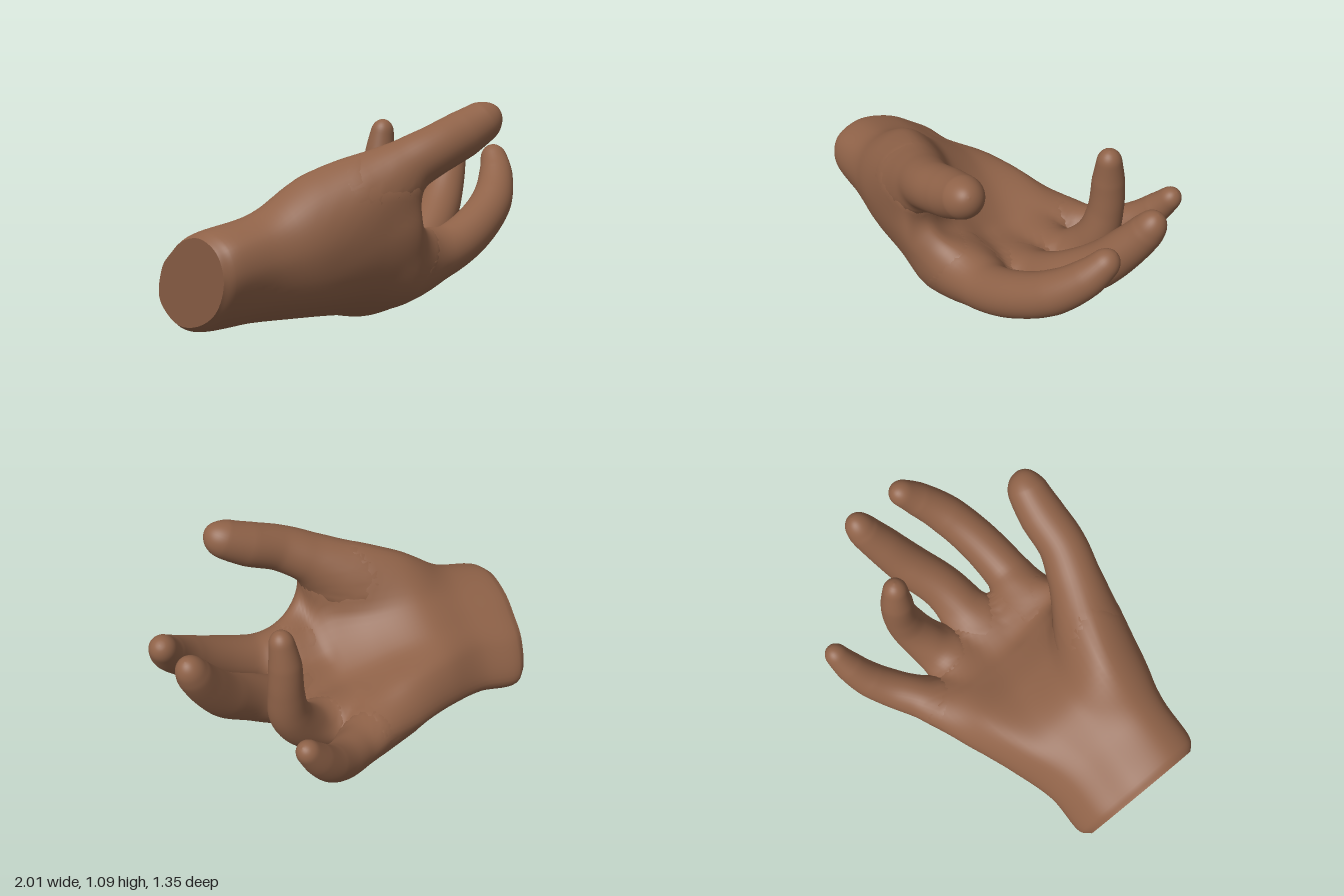
import * as THREE from 'three';

const SIDES = 36;
const BLEND = 0.1;
const skinMaterial = new THREE.MeshStandardMaterial({ color: 0x8f6248 });
skinMaterial.name = 'brown skin';

// Skin a row of closed rings; flat caps are added where asked.
function skin(rings, capped) {
  const pos = [], index = [];
  const n = rings[0].length;
  rings.forEach(r => r.forEach(p => pos.push(p.x, p.y, p.z)));
  for (let i = 0; i < rings.length - 1; i++) {
    for (let j = 0; j < n; j++) {
      const a = i * n + j, b = i * n + (j + 1) % n;
      index.push(a, b, a + n, b, b + n, a + n);
    }
  }
  const cap = (ring, flip) => {
    const start = pos.length / 3;
    const mid = new THREE.Vector3();
    ring.forEach(p => { pos.push(p.x, p.y, p.z); mid.addScaledVector(p, 1 / n); });
    pos.push(mid.x, mid.y, mid.z);
    for (let j = 0; j < n; j++) {
      const a = start + j, b = start + (j + 1) % n;
      index.push(start + n, flip ? b : a, flip ? a : b);
    }
  };
  if (capped) {
    cap(rings[0], true);
    cap(rings[rings.length - 1], false);
  }
  const g = new THREE.BufferGeometry();
  g.setAttribute('position', new THREE.Float32BufferAttribute(pos, 3));
  g.setIndex(index);
  g.computeVertexNormals();
  return g;
}

// Round digit along a path of [x, y, z, radius], with a domed tip.
function digit(name, path) {
  const spine = new THREE.CatmullRomCurve3(path.map(p => new THREE.Vector3(p[0], p[1], p[2])));
  const last = path.length - 1;
  const tip = spine.getPoint(1);
  const ref = new THREE.Vector3(0, 0, 1);
  const rings = [], balls = [];
  const steps = 56;
  for (let i = 0; i <= steps; i++) {
    const t = 1 - (1 - i / steps) ** 1.5;
    const c = spine.getPoint(t), T = spine.getTangent(t);
    const N = ref.clone().cross(T).normalize(), B = T.clone().cross(N);
    const k = Math.min(Math.floor(t * last), last - 1), f = t * last - k;
    let r = THREE.MathUtils.lerp(path[k][3], path[k + 1][3], f);
    const d = c.distanceTo(tip);
    if (d < r) r *= Math.sqrt(Math.max(1e-5, 1 - (1 - d / r) ** 2));
    else balls.push([c, r]);
    const ring = [];
    for (let j = 0; j < SIDES; j++) {
      const a = j / SIDES * Math.PI * 2;
      ring.push(c.clone().addScaledVector(N, r * Math.cos(a)).addScaledVector(B, r * Math.sin(a)));
    }
    rings.push(ring);
  }
  const distance = p => balls.reduce((best, [c, r]) => Math.min(best, p.distanceTo(c) - r), Infinity);
  return { name, geometry: skin(rings, false), distance };
}

// Palm cross-sections as [z, y], from the thumb ridge around the outside, under
// the back of the hand, to the little-finger edge, its mound and the hollow.
const SECTIONS = [
  { x: -0.93, pts: [[0.32, 0.55], [0.46, 0.49], [0.49, 0.36], [0.38, 0.18], [0.15, 0.055], [-0.06, 0.035], [-0.195, 0.14], [-0.12, 0.33], [0.0, 0.43], [0.13, 0.51]] },
  { x: -0.7, pts: [[0.33, 0.61], [0.47, 0.55], [0.52, 0.4], [0.44, 0.2], [0.2, 0.07], [-0.05, 0.06], [-0.2, 0.17], [-0.12, 0.37], [0.01, 0.47], [0.14, 0.55]] },
  { x: -0.45, pts: [[0.33, 0.77], [0.5, 0.69], [0.575, 0.46], [0.49, 0.2], [0.22, 0.06], [-0.08, 0.06], [-0.27, 0.2], [-0.2, 0.4], [-0.03, 0.49], [0.13, 0.6]] },
  { x: -0.2, pts: [[0.41, 0.83], [0.56, 0.73], [0.615, 0.48], [0.51, 0.2], [0.22, 0.04], [-0.1, 0.04], [-0.355, 0.21], [-0.25, 0.39], [0.0, 0.43], [0.21, 0.56]] },
  { x: -0.02, pts: [[0.5, 0.81], [0.6, 0.71], [0.63, 0.46], [0.515, 0.18], [0.23, 0.02], [-0.1, 0.012], [-0.4, 0.24], [-0.25, 0.35], [0.05, 0.355], [0.33, 0.51]] },
  { x: 0.06, pts: [[0.52, 0.56], [0.58, 0.51], [0.6, 0.4], [0.505, 0.17], [0.23, 0.02], [-0.1, 0.02], [-0.41, 0.24], [-0.22, 0.32], [0.08, 0.325], [0.36, 0.43]] },
  { x: 0.2, pts: [[0.44, 0.44], [0.49, 0.41], [0.51, 0.32], [0.45, 0.18], [0.22, 0.05], [-0.1, 0.05], [-0.24, 0.15], [-0.13, 0.28], [0.1, 0.31], [0.3, 0.38]] },
];

function palm() {
  const sections = SECTIONS.map(s => s.pts.map(([z, y]) => new THREE.Vector3(s.x, y, z)));
  const shrink = (section, centre, scale, x) => section.map(p => {
    const q = p.clone().sub(centre).multiplyScalar(scale).add(centre);
    q.x = x;
    return q;
  });
  // Rounded wrist rim, and a domed end between the finger roots.
  const wrist = new THREE.Vector3(0, 0.3, 0.14), roots = new THREE.Vector3(0, 0.24, 0.14);
  const end = sections[sections.length - 1];
  sections.unshift(shrink(sections[0], wrist, 0.89, -0.975));
  sections.push(shrink(end, roots, 0.76, 0.29), shrink(end, roots, 0.3, 0.34));
  // The wrist cut leans back towards the top.
  sections.flat().forEach(p => {
    p.x -= (p.y - 0.3) * 0.13 * THREE.MathUtils.clamp((-0.45 - p.x) / 0.5, 0, 1);
  });
  const outlines = sections.map(s => new THREE.CatmullRomCurve3(s, true));
  const tracks = [];
  for (let j = 0; j < SIDES * 2; j++) {
    tracks.push(new THREE.CatmullRomCurve3(outlines.map(o => o.getPoint(j / (SIDES * 2)))));
  }
  const rings = [];
  for (let i = 0; i <= 72; i++) rings.push(tracks.map(c => c.getPoint(i / 72)));
  const geometry = skin(rings, true);

  // Signed distance, taken from the nearest surface point and its normal.
  const pts = geometry.attributes.position.array.slice();
  const nor = geometry.attributes.normal.array.slice();
  const distance = p => {
    let best = Infinity, at = 0;
    for (let i = 0; i < pts.length; i += 3) {
      const d = (p.x - pts[i]) ** 2 + (p.y - pts[i + 1]) ** 2 + (p.z - pts[i + 2]) ** 2;
      if (d < best) { best = d; at = i; }
    }
    const side = (p.x - pts[at]) * nor[at] + (p.y - pts[at + 1]) * nor[at + 1] + (p.z - pts[at + 2]) * nor[at + 2];
    // Close to the surface the normal offset is the smoother measure.
    return best < 0.0009 ? side : Math.sqrt(best) * Math.sign(side);
  };
  return { name: 'palm and wrist', geometry, distance };
}

// Swell a part where it meets the others, so the joints become soft webs.
function blend(part, others) {
  const pos = part.geometry.attributes.position, nor = part.geometry.attributes.normal;
  const p = new THREE.Vector3(), n = new THREE.Vector3(), q = new THREE.Vector3();
  for (let i = 0; i < pos.count; i++) {
    p.fromBufferAttribute(pos, i);
    n.fromBufferAttribute(nor, i);
    let lift = 0;
    for (let step = 0; step < 3; step++) {
      q.copy(p).addScaledVector(n, lift);
      const d = Math.min(...others.map(o => o.distance(q)));
      const h = Math.max(0, BLEND - Math.abs(lift - d)) / BLEND;
      const field = Math.min(lift, d) - h * h * BLEND / 4;
      lift = THREE.MathUtils.clamp(lift - field, 0, BLEND * 0.3);
    }
    p.addScaledVector(n, lift);
    pos.setXYZ(i, p.x, p.y, p.z);
  }
  part.geometry.computeVertexNormals();
}

export function createModel() {
  const parts = [
    palm(),
    digit('thumb', [
      [-0.45, 0.51, 0.36, 0.16], [-0.2, 0.66, 0.43, 0.16], [0, 0.785, 0.505, 0.133],
      [0.15, 0.86, 0.55, 0.12], [0.32, 0.925, 0.558, 0.116], [0.45, 0.987, 0.572, 0.1], [0.53, 1.04, 0.595, 0.075]]),
    digit('index finger', [
      [0.05, 0.28, 0.395, 0.148], [0.22, 0.3, 0.4, 0.14], [0.4, 0.335, 0.4, 0.12], [0.6, 0.42, 0.37, 0.113],
      [0.78, 0.53, 0.305, 0.106], [0.9, 0.655, 0.21, 0.088], [0.965, 0.785, 0.108, 0.058]]),
    digit('middle finger', [
      [0.02, 0.155, 0.14, 0.12], [0.15, 0.17, 0.14, 0.128], [0.35, 0.24, 0.11, 0.128], [0.54, 0.35, 0.07, 0.12],
      [0.7, 0.48, -0.015, 0.114], [0.815, 0.63, -0.085, 0.1], [0.89, 0.755, -0.137, 0.085], [0.935, 0.86, -0.163, 0.056]]),
    digit('ring finger', [
      [0.02, 0.155, -0.1, 0.12], [0.15, 0.17, -0.11, 0.123], [0.27, 0.215, -0.14, 0.12], [0.38, 0.31, -0.185, 0.112],
      [0.45, 0.43, -0.22, 0.103], [0.472, 0.58, -0.245, 0.089], [0.475, 0.75, -0.25, 0.081], [0.49, 0.935, -0.235, 0.052]]),
    digit('little finger', [
      [-0.12, 0.175, -0.21, 0.11], [0, 0.195, -0.285, 0.112], [0.15, 0.215, -0.375, 0.108], [0.28, 0.253, -0.468, 0.1],
      [0.38, 0.325, -0.543, 0.092], [0.47, 0.43, -0.595, 0.077], [0.565, 0.563, -0.633, 0.05]]),
  ];
  const hand = new THREE.Group();
  hand.name = 'open hand';
  for (const part of parts) {
    blend(part, parts.filter(o => o !== part));
    const mesh = new THREE.Mesh(part.geometry, skinMaterial);
    mesh.name = part.name;
    hand.add(mesh);
  }
  return hand;
}
